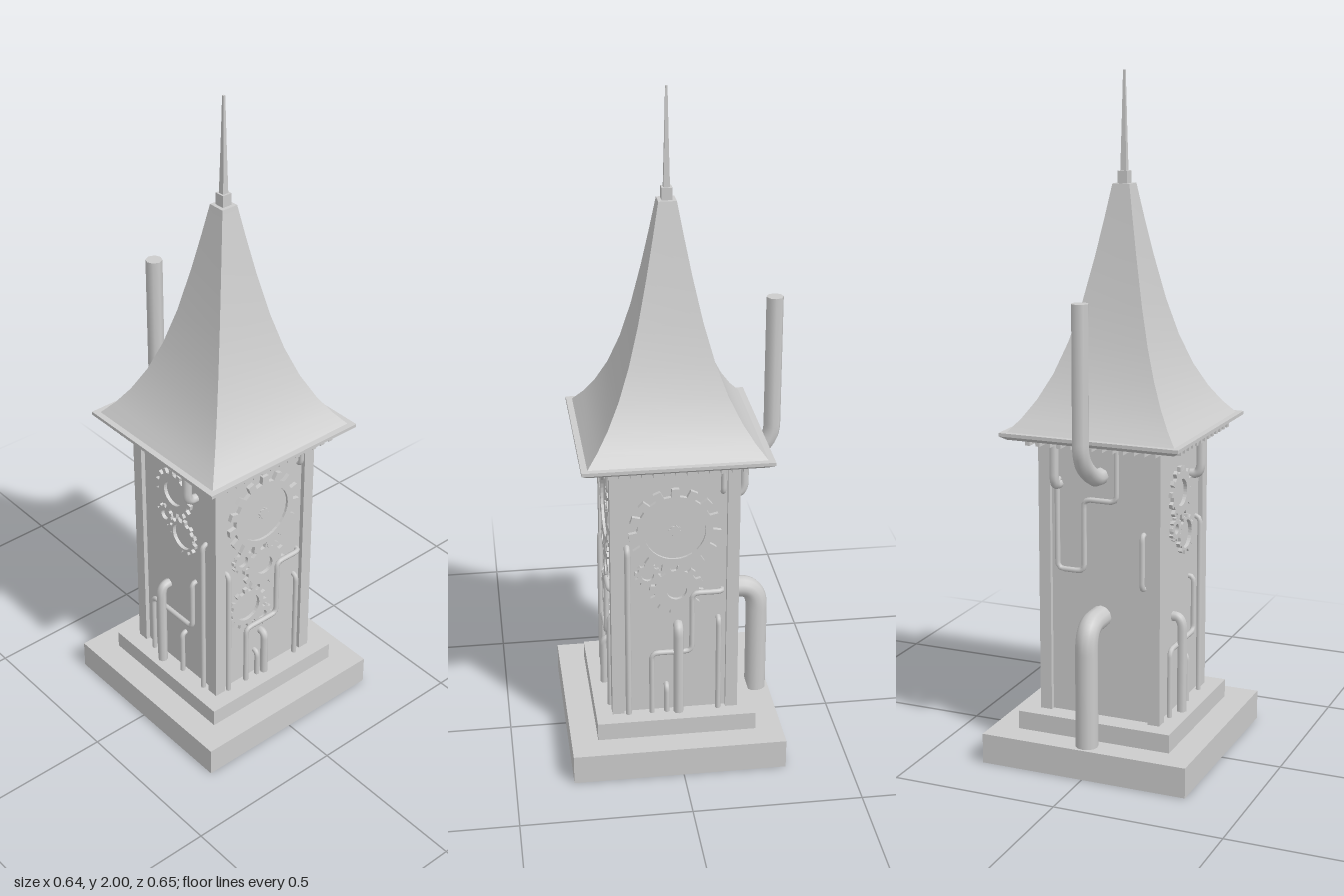
import * as THREE from 'three';
import { toCreasedNormals } from 'three/addons/utils/BufferGeometryUtils.js';

const material = new THREE.MeshStandardMaterial({ color: 0xcccccc, side: THREE.DoubleSide });
const V = (x, y, z) => new THREE.Vector3(x, y, z);

function add(parent, name, geometry, x = 0, y = 0, z = 0) {
  const mesh = new THREE.Mesh(geometry, material);
  mesh.name = name;
  mesh.position.set(x, y, z);
  parent.add(mesh);
  return mesh;
}

function box(parent, name, w, h, d, x, y, z) {
  return add(parent, name, new THREE.BoxGeometry(w, h, d), x, y, z);
}

// Square solid from a profile of [half width, height]
function square(profile) {
  const pts = profile.map(([r, y]) => new THREE.Vector2(r * Math.SQRT2, y));
  return toCreasedNormals(new THREE.LatheGeometry(pts, 4, Math.PI / 4), 0.5);
}

// Pipe through corner points, each corner rounded by the bend radius
function pipe(parent, name, points, r, bend = 0.02, sides = 8) {
  const pts = points.map(p => V(...p));
  const path = new THREE.CurvePath();
  let start = pts[0];
  for (let i = 1; i < pts.length - 1; i++) {
    const p = pts[i];
    const toward = q => {
      const d = q.clone().sub(p);
      return p.clone().addScaledVector(d.clone().normalize(), Math.min(bend, d.length() * 0.48));
    };
    const a = toward(pts[i - 1]), b = toward(pts[i + 1]);
    path.add(new THREE.LineCurve3(start, a));
    path.add(new THREE.QuadraticBezierCurve3(a, p, b));
    start = b;
  }
  path.add(new THREE.LineCurve3(start, pts[pts.length - 1]));
  const steps = pts.length > 2 ? 64 : 1;
  return add(parent, name, new THREE.TubeGeometry(path, steps, r, sides), 0, 0, 0);
}

// Vertical wall pipe whose top turns into the wall
function risingPipe(face, name, x, top, r, z = 0.19, bend = 0.02) {
  pipe(face, name, [[x, 0.13, z], [x, top - r, z], [x, top - r, 0.16]], r, bend);
}

// Hooked pipe coming down from the eaves into the wall
function eavesPipe(face, x) {
  pipe(face, 'eavesPipe', [[x, 0.975, 0.208], [x, 0.835, 0.208], [x, 0.835, 0.16]], 0.014, 0.035);
}

// Toothed wheel with a round hole
function gear(face, name, x, y, r, teeth, hole, depth = 0.012) {
  const shape = new THREE.Shape();
  const step = Math.PI * 2 / teeth, root = r * 0.82;
  for (let i = 0; i < teeth; i++) {
    [[0, root], [0.45, root], [0.53, r], [0.92, r]].forEach(([f, rad], k) => {
      const a = (i + f) * step, px = Math.cos(a) * rad, py = Math.sin(a) * rad;
      if (i + k === 0) shape.moveTo(px, py); else shape.lineTo(px, py);
    });
  }
  shape.closePath();
  if (hole) {
    const h = new THREE.Path();
    h.absarc(0, 0, hole, 0, Math.PI * 2, true);
    shape.holes.push(h);
  }
  const geo = new THREE.ExtrudeGeometry(shape, { depth, bevelEnabled: false, curveSegments: 16 });
  return add(face, name, geo, x, y, 0.174);
}

function disc(face, name, x, y, r, depth) {
  const geo = new THREE.CylinderGeometry(r, r, depth, 32).rotateX(Math.PI / 2);
  return add(face, name, geo, x, y, 0.174 + depth / 2);
}

// Wheels and thin pipes shared by the two show faces
function showFace(face) {
  gear(face, 'dialGear', 0, 0.75, 0.135, 15, 0.09, 0.014);
  disc(face, 'dial', 0, 0.75, 0.092, 0.006);
  gear(face, 'dialHubGear', 0, 0.75, 0.018, 8, 0, 0.01);
  gear(face, 'smallGear', -0.08, 0.61, 0.038, 10, 0.018);
  gear(face, 'mediumGear', 0.005, 0.555, 0.08, 12, 0.03);
  pipe(face, 'steppedPipe', [[-0.07, 0.13, 0.19], [-0.07, 0.35, 0.19], [0.05, 0.35, 0.19],
    [0.05, 0.545, 0.19], [0.14, 0.545, 0.19], [0.14, 0.545, 0.165]], 0.008);
  risingPipe(face, 'rightPipe', 0.13, 0.46, 0.008);
  risingPipe(face, 'shortPipe', -0.025, 0.24, 0.008);
  pipe(face, 'upperPipe', [[0.14, 0.96, 0.187], [0.14, 0.865, 0.187], [0.14, 0.865, 0.16]], 0.008);
}

export function createModel() {
  const model = new THREE.Group();
  model.name = 'clockTower';
  const tower = new THREE.Group();
  tower.name = 'tower';
  tower.position.z = 0.01;
  model.add(tower);

  // Hollow stepped plinth
  add(tower, 'plinth', square([[0.318, 0], [0.318, 0.09], [0.238, 0.09], [0.238, 0.145], [0, 0.145]]));

  // Body, corner posts and top beam
  box(tower, 'body', 0.35, 0.83, 0.35, 0, 0.56, 0);
  for (const x of [-1, 1]) for (const z of [-1, 1])
    box(tower, 'cornerPost', 0.036, 0.83, 0.036, x * 0.171, 0.56, z * 0.171);
  box(tower, 'topBeam', 0.368, 0.028, 0.368, 0, 0.96, 0);

  // Roof with flared slopes, eaves and spire
  add(tower, 'eaves', square([[0, 0.97], [0.255, 0.97], [0.273, 0.982], [0.273, 0.992], [0, 0.992]]));
  add(tower, 'roof', square([[0.255, 0.992], [0.223, 1.03], [0.19, 1.08], [0.155, 1.15], [0.122, 1.24],
    [0.092, 1.35], [0.064, 1.48], [0.043, 1.59], [0.026, 1.685], [0, 1.685]]));
  add(tower, 'spire', square([[0.015, 1.685], [0.015, 1.72], [0.009, 1.72], [0.006, 1.85], [0.003, 2], [0, 2]]));

  // One group per wall, local z pointing outward
  const [front, left, back, right] = ['front', 'left', 'back', 'right'].map((name, i) => {
    const face = new THREE.Group();
    face.name = name + 'Face';
    face.rotation.y = i * Math.PI / 2;
    tower.add(face);
    for (let k = -6; k <= 6; k++)
      box(face, 'rafter', 0.014, 0.014, 0.07, k * 0.032, 0.965, 0.218);
    return face;
  });

  // Front wall
  showFace(front);
  gear(front, 'lowerGear', -0.06, 0.425, 0.075, 14, 0.045);
  gear(front, 'bottomGear', 0, 0.365, 0.038, 10, 0.015);
  risingPipe(front, 'tallPipe', -0.14, 0.6, 0.008);
  risingPipe(front, 'middlePipe', 0, 0.31, 0.012, 0.195);

  // Left wall
  showFace(left);
  risingPipe(left, 'tallPipe', -0.14, 0.71, 0.009);
  risingPipe(left, 'elbowPipe', 0.01, 0.45, 0.015, 0.195, 0.03);

  // Right wall
  gear(right, 'upperGear', -0.01, 0.8, 0.08, 14, 0.04);
  gear(right, 'middleGear', 0.03, 0.665, 0.06, 12, 0.042);
  gear(right, 'smallGear', -0.05, 0.7, 0.036, 10, 0.015);
  eavesPipe(right, 0.085);
  risingPipe(right, 'elbowPipe', -0.05, 0.45, 0.015, 0.205, 0.04);
  risingPipe(right, 'tallPipe', 0.13, 0.7, 0.008);
  risingPipe(right, 'shortPipe', 0.03, 0.3, 0.008);
  pipe(right, 'steppedPipe', [[-0.11, 0.13, 0.19], [-0.11, 0.35, 0.19], [0.08, 0.35, 0.19],
    [0.08, 0.52, 0.19], [0.08, 0.52, 0.165]], 0.008);

  // Back wall: chimney, boiler pipe and thin pipes
  pipe(back, 'chimneyPipe', [[0, 0.87, 0.16], [0, 0.87, 0.22], [0, 0.94, 0.312], [0, 1.385, 0.312]], 0.025, 0.05);
  add(back, 'chimneyCap', new THREE.CircleGeometry(0.025, 8).rotateX(-Math.PI / 2), 0, 1.385, 0.312);
  pipe(back, 'boilerPipe', [[0, 0.08, 0.278], [0, 0.45, 0.278], [0, 0.45, 0.16]], 0.033, 0.075, 12);
  eavesPipe(back, -0.13);
  pipe(back, 'steppedPipe', [[-0.13, 0.85, 0.165], [-0.13, 0.85, 0.188], [-0.13, 0.585, 0.188], [-0.046, 0.585, 0.188],
    [-0.046, 0.8, 0.188], [0.055, 0.8, 0.188], [0.055, 0.97, 0.188]], 0.008);
  pipe(back, 'wallPipe', [[0.134, 0.71, 0.165], [0.134, 0.71, 0.188], [0.134, 0.55, 0.188],
    [0.134, 0.55, 0.165]], 0.008);

  return model;
}
